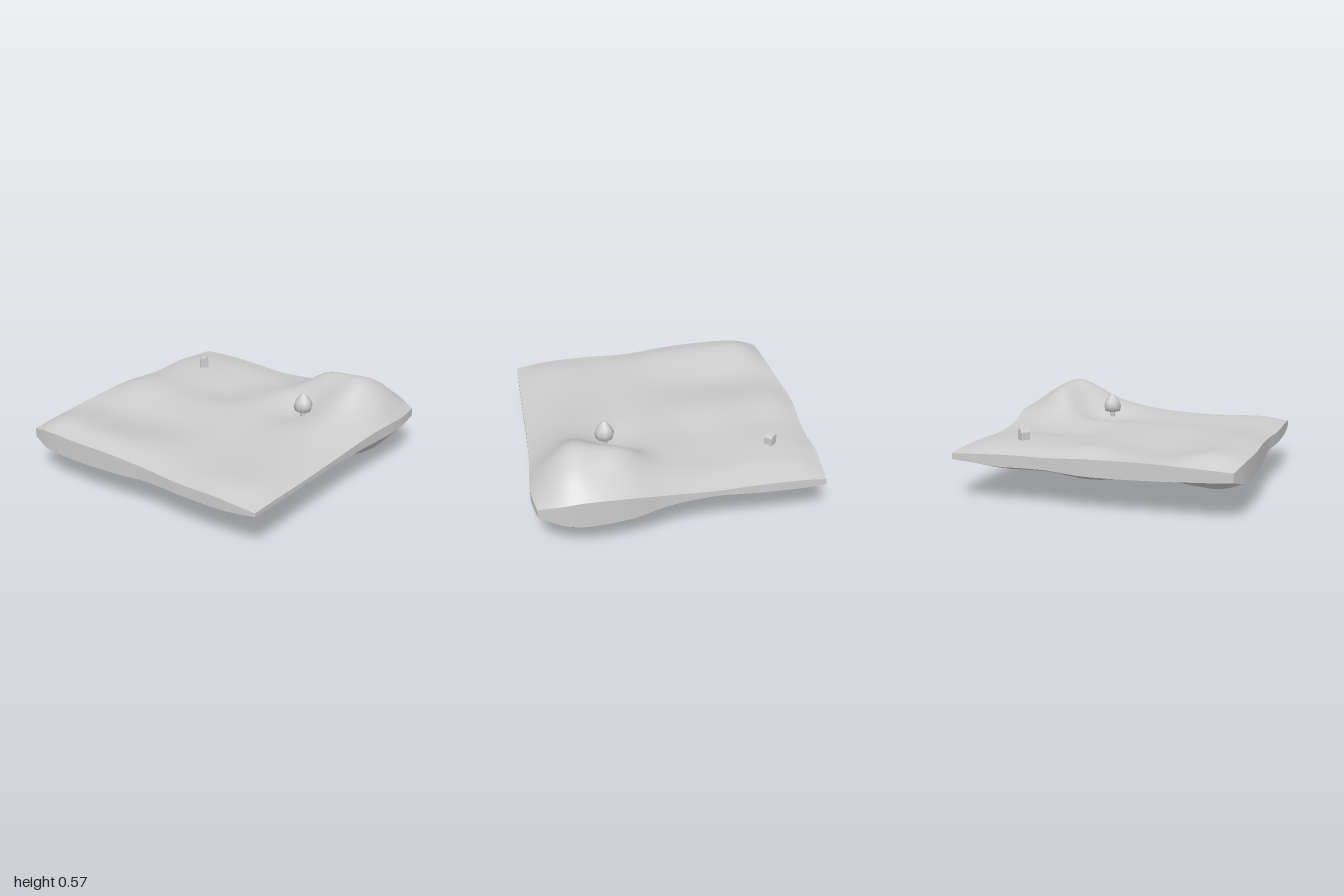
import * as THREE from 'three';

const MID = 0.29; // mid-plane height of the slab
const N = 40;     // grid cells per side

// Control stations across (x) and along (z) the land
const XS = [-0.95, -0.8, -0.5, -0.2, 0.1, 0.35, 0.65, 0.8, 0.95];
const ZS = [-0.95, -0.77, -0.6, -0.47, -0.28, 0, 0.4, 0.8, 0.97];

// Half thickness (hundredths) in each cross-section, back to front
const SECTIONS = [
  [2, 3, 3, 2, 4, 7.5, 9, 7, 2.8],
  [3, 6.5, 7, 5, 7.5, 12, 22, 17, 3.5],
  [4, 7.5, 8, 4.8, 8.7, 13.5, 28.5, 21, 4],
  [4, 7.5, 8, 4.8, 9, 9, 24.5, 17.5, 4],
  [4, 7.5, 7.5, 5.2, 8.8, 4.5, 14, 12, 3.3],
  [5.5, 10, 8.5, 8.5, 8.5, 6.5, 8.5, 7, 2.2],
  [5.5, 5.5, 3.8, 5, 6.8, 6, 6, 5, 1.6],
  [4, 10.5, 10.3, 10, 7.5, 6, 7, 6, 1.6],
  [3, 6.5, 7, 6.5, 4.5, 4, 4, 3, 1.2],
];

// Wavy plan outline at the stations
const LEFT_EDGE = [0.94, 0.965, 0.962, 0.952, 0.942, 0.935, 0.935, 0.933, 0.93];
const RIGHT_EDGE = [-0.925, -0.938, -0.95, -0.942, -0.945, -0.966, -0.952, -0.942, -0.935];
const BACK_EDGE = [-0.92, -0.92, -0.92, -0.92, -0.94, -0.985, -1, -0.985, -0.93];
const FRONT_EDGE = [0.955, 0.99, 0.998, 0.98, 0.962, 0.974, 0.965, 0.957, 0.94];

// Smooth interpolation through unevenly spaced stations
function smooth(ts, vs, t) {
  const last = ts.length - 1;
  let k = 0;
  while (k < last - 1 && t > ts[k + 1]) k++;
  const slope = (i) => {
    const a = Math.max(i - 1, 0), b = Math.min(i + 1, last);
    return (vs[b] - vs[a]) / (ts[b] - ts[a]);
  };
  const d = ts[k + 1] - ts[k], s = (t - ts[k]) / d, s2 = s * s, s3 = s2 * s;
  return (2 * s3 - 3 * s2 + 1) * vs[k] + (s3 - 2 * s2 + s) * d * slope(k)
    + (3 * s2 - 2 * s3) * vs[k + 1] + (s3 - s2) * d * slope(k + 1);
}

function halfThickness(x, z) {
  return smooth(ZS, SECTIONS.map((row) => smooth(XS, row, x)), z) / 100;
}

// Point on the upper (side = 1) or lower (side = -1) surface
function landPoint(i, j, side) {
  const u = i / N, v = j / N;
  const x = THREE.MathUtils.lerp(-0.95, 0.95, u);
  const z = THREE.MathUtils.lerp(-0.95, 0.97, v);
  let h = halfThickness(x, z);
  if (side > 0) {
    // western shoulder of the hill
    h += 0.105 * Math.exp(-(((x - 0.36) / 0.17) ** 2) - ((z + 0.64) / 0.16) ** 2);
  } else {
    // fuller belly away from the hill
    const rim = (1 - (2 * u - 1) ** 8) * (1 - (2 * v - 1) ** 8);
    h += 0.01 * rim * (1 - THREE.MathUtils.smoothstep(x, 0.4, 0.65));
  }
  return [
    THREE.MathUtils.lerp(smooth(ZS, RIGHT_EDGE, z), smooth(ZS, LEFT_EDGE, z), u),
    MID + side * h,
    THREE.MathUtils.lerp(smooth(XS, BACK_EDGE, x), smooth(XS, FRONT_EDGE, x), v),
  ];
}

// Grid surface from a point function
function surface(cols, rows, point, flip) {
  const pos = [], idx = [];
  for (let j = 0; j <= rows; j++) for (let i = 0; i <= cols; i++) pos.push(...point(i, j));
  for (let j = 0; j < rows; j++) {
    for (let i = 0; i < cols; i++) {
      const a = j * (cols + 1) + i, b = a + cols + 1;
      if (flip) idx.push(a, a + 1, b, a + 1, b + 1, b);
      else idx.push(a, b, a + 1, a + 1, b, b + 1);
    }
  }
  const g = new THREE.BufferGeometry();
  g.setAttribute('position', new THREE.Float32BufferAttribute(pos, 3));
  g.setIndex(idx);
  g.computeVertexNormals();
  return g;
}

export function createModel() {
  const model = new THREE.Group();
  model.name = 'landscape';
  const stone = new THREE.MeshStandardMaterial({ color: 0xcccccc });
  stone.name = 'pale grey';

  const add = (name, geometry, parent = model) => {
    const mesh = new THREE.Mesh(geometry, stone);
    mesh.name = name;
    parent.add(mesh);
    return mesh;
  };

  // Land: upper and lower surfaces
  add('ground', surface(N, N, (i, j) => landPoint(i, j, 1), false));
  add('underside', surface(N, N, (i, j) => landPoint(i, j, -1), true));

  // Side walls, each running anticlockwise seen from above
  const walls = {
    frontWall: (k) => [k, N],
    leftWall: (k) => [N, N - k],
    backWall: (k) => [N - k, 0],
    rightWall: (k) => [0, k],
  };
  for (const [name, at] of Object.entries(walls)) {
    add(name, surface(N, 1, (k, j) => landPoint(...at(k), j ? 1 : -1), true));
  }

  // Tree: trunk and pointed crown
  const tree = new THREE.Group();
  tree.name = 'tree';
  tree.position.set(0.43, 0, -0.29);
  model.add(tree);
  const trunk = add('trunk', new THREE.CylinderGeometry(0.02, 0.018, 0.09, 8), tree);
  trunk.position.y = 0.36;
  const crown = [[0, 0.398], [0.04, 0.388], [0.058, 0.394], [0.067, 0.43],
    [0.056, 0.463], [0.032, 0.497], [0.012, 0.518], [0, 0.523]];
  add('crown', new THREE.LatheGeometry(crown.map(([r, y]) => new THREE.Vector2(r, y)), 8), tree);

  // Hut: block with a chamfered roof, turned to the corner
  const profile = new THREE.Shape([[-0.03, 0], [0.03, 0], [0.03, 0.088], [0.016, 0.108],
    [-0.016, 0.108], [-0.03, 0.088]].map(([x, y]) => new THREE.Vector2(x, y)));
  const hutGeometry = new THREE.ExtrudeGeometry(profile, { depth: 0.06, bevelEnabled: false });
  hutGeometry.translate(0, 0, -0.03);
  const hut = add('hut', hutGeometry);
  hut.position.set(-0.65, 0.336, -0.53);
  hut.rotation.y = Math.PI / 4;

  return model;
}
